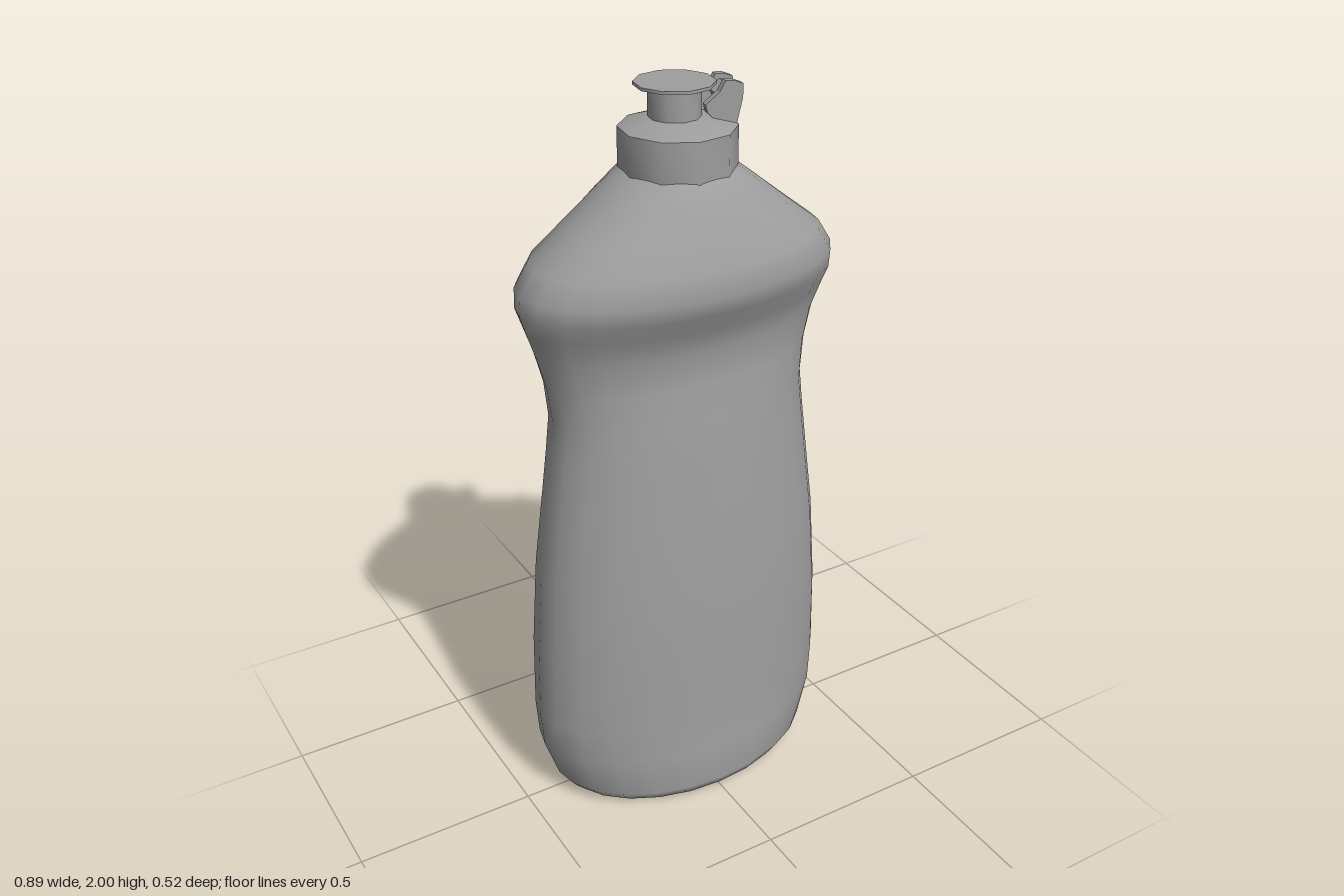
import * as THREE from 'three';
import { toCreasedNormals } from 'three/addons/utils/BufferGeometryUtils.js';

const SIDES = 24;
const material = new THREE.MeshStandardMaterial({ color: 0x9e9e9e, side: THREE.DoubleSide });

// Elliptical sections of the bottle: height, half width, half depth
const SECTIONS = [
  [0.01, 0.2, 0.12], [0.005, 0.32, 0.2], [0.015, 0.365, 0.238], [0.05, 0.397, 0.258],
  [0.17, 0.437, 0.25], [0.28, 0.446, 0.243], [0.5, 0.44, 0.245], [0.75, 0.421, 0.234],
  [0.95, 0.394, 0.218], [1.08, 0.377, 0.208], [1.18, 0.366, 0.199], [1.28, 0.378, 0.183],
  [1.37, 0.403, 0.178], [1.44, 0.426, 0.207], [1.49, 0.442, 0.234], [1.54, 0.437, 0.255],
  [1.6, 0.398, 0.239], [1.67, 0.306, 0.21], [1.74, 0.217, 0.176], [1.79, 0.152, 0.146],
  [1.8, 0.12, 0.12],
];

// Joins the sections into one smooth skin, closed at both ends
function bodyGeometry() {
  const points = [], index = [];
  for (const [y, rx, rz] of SECTIONS) {
    for (let i = 0; i < SIDES; i++) {
      const a = (i / SIDES) * Math.PI * 2;
      points.push(rx * Math.sin(a), y, rz * Math.cos(a));
    }
  }
  const last = SECTIONS.length - 1;
  const bottom = points.length / 3, top = bottom + 1;
  points.push(0, 0.012, 0, 0, SECTIONS[last][0], 0);
  for (let i = 0; i < SIDES; i++) {
    const j = (i + 1) % SIDES;
    for (let r = 0; r < last; r++) {
      const a = r * SIDES + i, b = r * SIDES + j;
      index.push(a, b, b + SIDES, a, b + SIDES, a + SIDES);
    }
    index.push(bottom, j, i, top, last * SIDES + i, last * SIDES + j);
  }
  const geometry = new THREE.BufferGeometry();
  geometry.setAttribute('position', new THREE.Float32BufferAttribute(points, 3));
  geometry.setIndex(index);
  geometry.computeVertexNormals();
  return geometry;
}

function addMesh(parent, name, geometry) {
  const mesh = new THREE.Mesh(geometry, material);
  mesh.name = name;
  parent.add(mesh);
  return mesh;
}

// Ten-sided turned part: smooth around, sharp between its side and top
function turned(profile) {
  const points = profile.map(([r, y]) => new THREE.Vector2(r, y));
  return toCreasedNormals(new THREE.LatheGeometry(points, 10, THREE.MathUtils.degToRad(26)), 0.7);
}

// Strap profile extruded across its width
function strap(outline, width) {
  const shape = new THREE.Shape(outline.map(([x, y]) => new THREE.Vector2(x, y)));
  return new THREE.ExtrudeGeometry(shape, { depth: width, bevelEnabled: false }).translate(0, 0, -width / 2);
}

export function createModel() {
  const model = new THREE.Group();
  model.name = 'squeezeBottle';
  addMesh(model, 'bottleBody', bodyGeometry());

  const cap = new THREE.Group();
  cap.name = 'cap';
  model.add(cap);
  addMesh(cap, 'capCollar', turned([[0, 1.788], [0.147, 1.788], [0.147, 1.892], [0.075, 1.916], [0, 1.916]]));
  const spout = addMesh(cap, 'spoutStem', turned([[0.065, 1.9], [0.065, 1.99]]));
  const lid = addMesh(cap, 'spoutLid', turned([[0, 1.988], [0.1, 1.992], [0.1, 2], [0, 2]]));
  spout.position.x = lid.position.x = -0.009;

  // Hinge: two outer arms and a lower strap between them
  const hinge = new THREE.Group();
  hinge.name = 'lidHinge';
  hinge.position.set(0.115, 0, 0.018);
  hinge.rotation.y = -0.2;
  cap.add(hinge);
  const arm = [[0.02, 1.89], [0.035, 1.955], [0.035, 1.988], [0.012, 1.997], [-0.01, 1.998],
    [-0.025, 1.972], [-0.06, 1.945], [-0.055, 1.925], [-0.02, 1.89]];
  const band = [[0.012, 1.89], [0.027, 1.955], [0.024, 1.98], [0, 1.985], [-0.03, 1.966],
    [-0.02, 1.95], [-0.01, 1.89]];
  for (const side of [-1, 1]) {
    addMesh(hinge, 'hingeArm', strap(arm, 0.02)).position.z = side * 0.034;
  }
  addMesh(hinge, 'hingeBand', strap(band, 0.048));
  return model;
}
